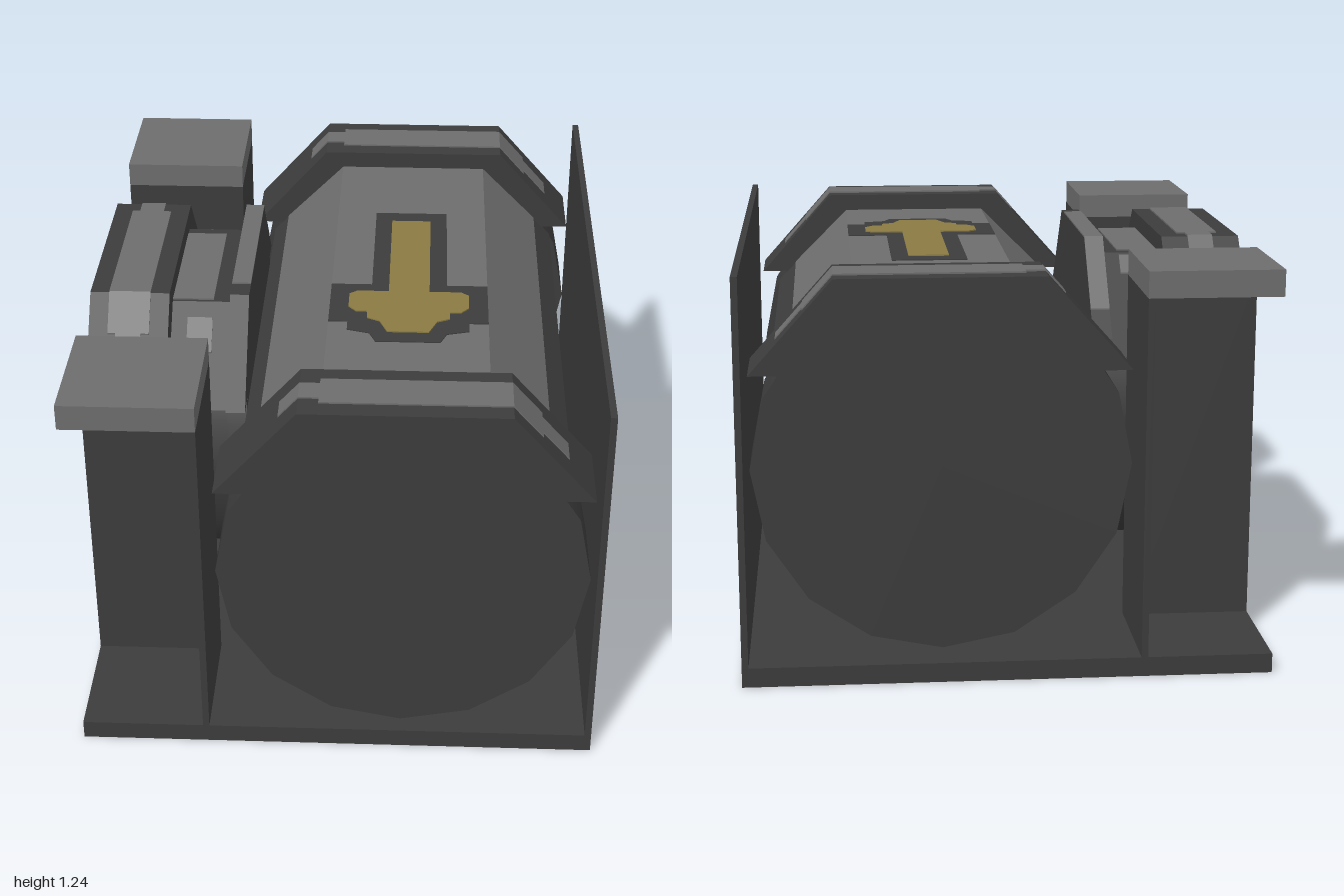
import * as THREE from 'three';

const mat = (name, color) => {
  const m = new THREE.MeshStandardMaterial({ color });
  m.name = name;
  return m;
};

// Hood cross-sections: half width of flat top, half width of skirt, top and skirt heights
const END = { r: 0.56, flat: 0.31, skirt: 0.56, top: 0.56, low: 0.28 };
const MID = { r: 0.5, flat: 0.25, skirt: 0.5, top: 0.5, low: 0.25 };

export function createModel() {
  const dark = mat('darkMetal', 0x3c3c3c);
  const light = mat('wornGrey', 0x6d6d6d);
  const gold = mat('goldPaint', 0x8b7b42);
  const root = new THREE.Group();

  const add = (parent, name, geo, material) => {
    const mesh = new THREE.Mesh(geo, material);
    mesh.name = name;
    parent.add(mesh);
    return mesh;
  };
  const box = (name, x0, x1, y0, y1, z0, z1, material) =>
    add(root, name, new THREE.BoxGeometry(x1 - x0, y1 - y0, z1 - z0), material)
      .position.set((x0 + x1) / 2, (y0 + y1) / 2, (z0 + z1) / 2);
  const prism = (pts, z0, z1) => {
    const shape = new THREE.Shape(pts.map(([x, y]) => new THREE.Vector2(x, y)));
    return new THREE.ExtrudeGeometry(shape, { depth: z1 - z0, bevelEnabled: false }).translate(0, 0, z0);
  };

  // Drum section with an angular hood on top, running along local z
  const drum = (parent, name, p, z0, z1) => {
    const cyl = new THREE.CylinderGeometry(p.r, p.r, z1 - z0, 16);
    cyl.rotateX(Math.PI / 2).translate(0, 0, (z0 + z1) / 2);
    add(parent, name + 'Drum', cyl, dark);
    add(parent, name + 'Hood', prism([
      [-p.skirt, p.low], [p.skirt, p.low], [p.flat, p.top], [-p.flat, p.top],
    ], z0, z1), dark);
  };
  // Thin painted band that follows the hood from u0 to u1
  const band = (parent, name, p, u0, u1, z0, z1) => {
    const height = u => p.top - Math.max(0, Math.abs(u) - p.flat) * (p.top - p.low) / (p.skirt - p.flat);
    const us = [u0, ...[-p.flat, p.flat].filter(u => u > u0 && u < u1), u1];
    const lower = us.map(u => [u, height(u)]);
    const upper = us.map(u => [u, height(u) + 0.005]).reverse();
    add(parent, name, prism([...lower, ...upper], z0, z1), light);
  };

  // Tray and side wall
  box('basePlate', -0.8, 0.8, 0, 0.06, -1, 1, dark);
  box('sideWall', 0.78, 0.8, 0.06, 1.24, -1, 1, dark);

  // Corner posts: two plates in an L with a square cap
  for (const s of [1, -1]) {
    const span = (a, b) => (s > 0 ? [a, b] : [-b, -a]);
    box('postSidePlate', -0.42, -0.4, 0.06, 1.16, ...span(0.6, 1), dark);
    box('postCrossPlate', -0.8, -0.42, 0.06, 1.16, ...span(0.6, 0.62), dark);
    box('postCap', -0.8, -0.4, 1.16, 1.24, ...span(0.6, 1), light);
  }

  // Main drum along z
  const main = new THREE.Group();
  main.name = 'mainDrum';
  main.position.set(0.2, 0.67, 0);
  root.add(main);
  drum(main, 'middle', MID, -0.75, 0.75);
  band(main, 'hoodPanel', MID, -0.45, 0.44, -0.75, 0.75);
  for (const s of [1, -1]) {
    drum(main, 'end', END, s > 0 ? 0.75 : -1, s > 0 ? 1 : -0.75);
    band(main, 'endWear', END, -0.37, 0.48, s * 0.875 - 0.04, s * 0.875 + 0.04);
    band(main, 'endWear', END, -0.25, 0.4, s * 0.875 - 0.065, s * 0.875 + 0.065);
  }

  // Arrow with dark border on the main hood; half outlines as [x, z]
  const arrow = (name, half, y, material) => {
    const pts = [...half, ...half.map(([x, z]) => [-x, z]).reverse()].map(([x, z]) => [x, -z]).reverse();
    const geo = prism(pts, 0, 0.004);
    geo.rotateX(-Math.PI / 2);
    add(main, name, geo, material).position.y = y;
  };
  arrow('arrowBorder', [
    [0.12, -0.38], [0.12, 0.13], [0.25, 0.13], [0.25, 0.37], [0.19, 0.37],
    [0.19, 0.42], [0.12, 0.44], [0.1, 0.49],
  ], 0.504, dark);
  arrow('arrowFill', [
    [0.065, -0.315], [0.065, 0.18], [0.165, 0.18], [0.19, 0.2], [0.19, 0.28], [0.165, 0.31],
    [0.13, 0.31], [0.13, 0.35], [0.09, 0.37], [0.065, 0.435],
  ], 0.508, gold);

  // Side drum along x (local z becomes x, local x becomes -z)
  const side = new THREE.Group();
  side.name = 'sideDrum';
  side.position.set(0, 0.67, 0);
  side.rotation.y = Math.PI / 2;
  root.add(side);
  drum(side, 'outerEnd', END, -0.8, -0.55);
  drum(side, 'middle', MID, -0.55, -0.36);
  drum(side, 'innerEnd', END, -0.36, -0.3);
  band(side, 'outerWear', END, -0.48, 0.37, -0.715, -0.635);
  band(side, 'outerWear', END, -0.4, 0.25, -0.74, -0.61);
  band(side, 'middleWear', MID, -0.24, 0.21, -0.55, -0.42);
  band(side, 'middleWear', MID, 0.26, 0.31, -0.55, -0.42);
  band(side, 'middleSpot', MID, -0.37, -0.29, -0.5, -0.42);
  band(side, 'innerWear', END, -0.24, 0.49, -0.36, -0.3);

  return root;
}
